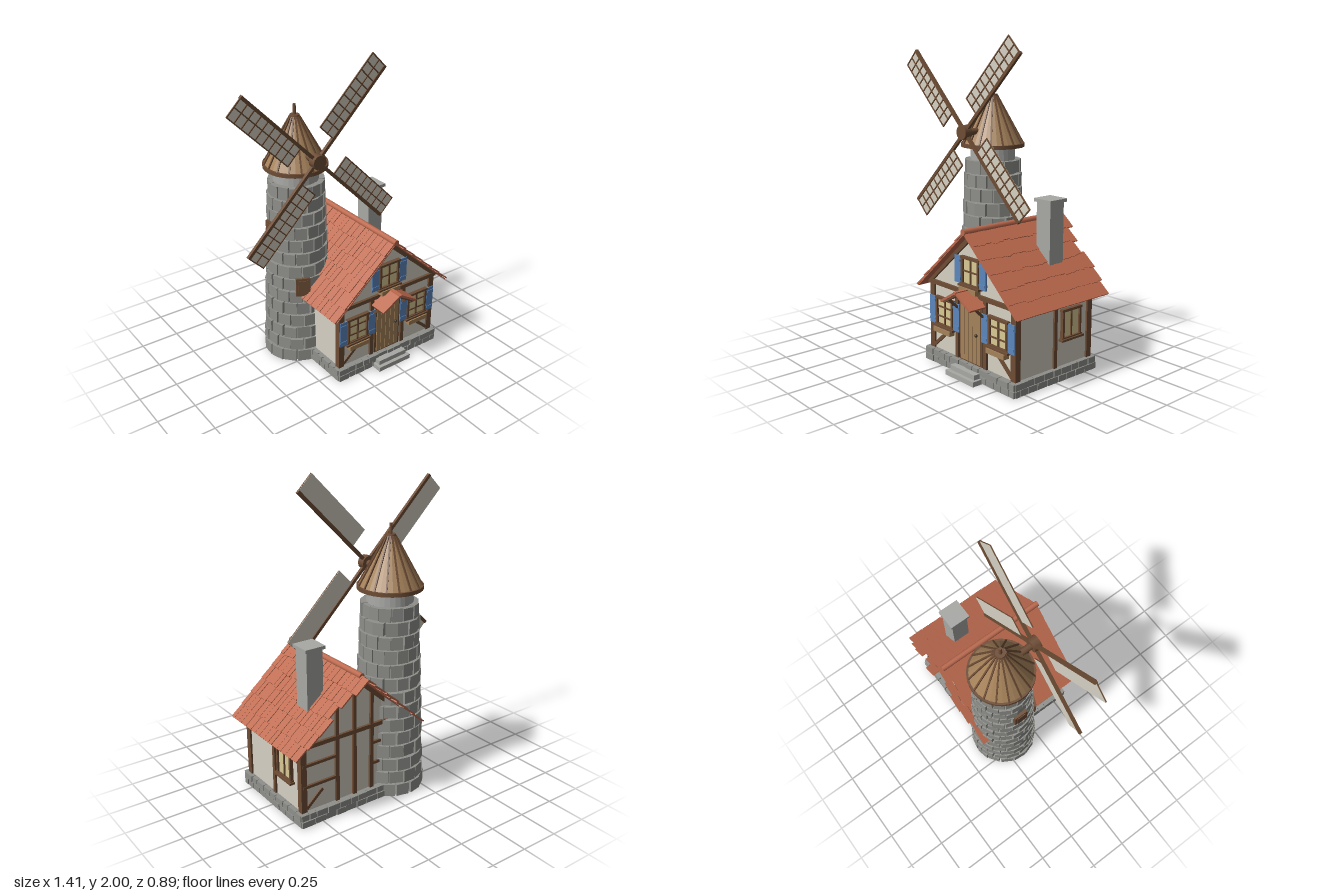
import * as THREE from 'three';

const mat = (name, color) => Object.assign(new THREE.MeshStandardMaterial({ color }), { name });

export function createModel() {
  const M = {
    stone: mat('stone', 0x8f8f8b), pale: mat('pale stone', 0xa8a9a5),
    plaster: mat('plaster', 0xd6d1c3), timber: mat('timber', 0x6e4d35),
    wood: mat('light wood', 0xa5825a), tile: mat('roof tile', 0xbd6a4e),
    blue: mat('blue paint', 0x5c87bd), glass: mat('window glass', 0xd9ca94),
    iron: mat('dark iron', 0x3b332c),
  };
  M.stone.flatShading = M.pale.flatShading = M.wood.flatShading = true;
  M.pale.side = THREE.DoubleSide;

  let seed = 7;
  const rnd = () => (seed = (seed * 16807) % 2147483647) / 2147483647;

  const root = new THREE.Group();
  root.name = 'windmillCottage';
  const group = (name, parent, x = 0, y = 0, z = 0) => {
    const g = new THREE.Group();
    g.name = name;
    g.position.set(x, y, z);
    parent.add(g);
    return g;
  };
  const add = (parent, name, geo, m, x = 0, y = 0, z = 0) => {
    const mesh = new THREE.Mesh(geo, m);
    mesh.name = name;
    mesh.position.set(x, y, z);
    parent.add(mesh);
    return mesh;
  };
  const box = (parent, name, m, w, h, d, x, y, z) =>
    add(parent, name, new THREE.BoxGeometry(w, h, d), m, x, y, z);
  const cyl = (parent, name, m, r1, r2, h, n, x, y, z) =>
    add(parent, name, new THREE.CylinderGeometry(r1, r2, h, n), m, x, y, z);
  // timber in the xy plane between two points
  const beam = (parent, name, x1, y1, x2, y2, w, z, d = 0.03) => {
    const b = box(parent, name, M.timber, Math.hypot(x2 - x1, y2 - y1), w, d, (x1 + x2) / 2, (y1 + y2) / 2, z);
    b.rotation.z = Math.atan2(y2 - y1, x2 - x1);
    return b;
  };

  // ---------- house ----------
  const house = group('house', root, 0.247, 0, 0);
  const HW = 0.375, HD = 0.3;
  const shape = new THREE.Shape([[-HW, 0.08], [HW, 0.08], [HW, 0.535], [0, 0.865], [-HW, 0.535]].map(p => new THREE.Vector2(...p)));
  add(house, 'walls', new THREE.ExtrudeGeometry(shape, { depth: 2 * HD, bevelEnabled: false }), M.plaster, 0, 0, -HD);

  // foundation core and two courses of stones
  const base = group('foundation', house);
  box(base, 'foundationCore', M.stone, 0.78, 0.08, 0.64, 0, 0.043, 0);
  for (let row = 0; row < 2; row++) {
    const y = 0.023 + row * 0.042;
    const course = (len, place) => {
      for (let a = -len / 2; a < len / 2 - 0.01;) {
        let w = 0.05 + rnd() * 0.04;
        if (a + w > len / 2 - 0.03) w = len / 2 - a;
        place(a + w / 2, w - 0.005);
        a += w;
      }
    };
    for (const s of [-1, 1]) {
      course(0.81, (a, w) => box(base, 'foundationStone', M.stone, w, 0.038, 0.04, a, y, s * (0.318 + rnd() * 0.006)));
      course(0.66, (a, w) => box(base, 'foundationStone', M.stone, 0.04, 0.038, w, s * (0.383 + rnd() * 0.006), y, a));
    }
  }
  box(house, 'lowerStep', M.pale, 0.255, 0.03, 0.1, 0, 0.015, 0.355);
  box(house, 'upperStep', M.pale, 0.22, 0.03, 0.07, 0, 0.045, 0.345);

  // timber framing on both gables
  for (const s of [-1, 1]) {
    const z = s * 0.3, f = group(s > 0 ? 'frontTimbers' : 'backTimbers', house);
    for (const m of [-1, 1]) {
      box(f, 'cornerPost', M.timber, 0.04, 0.43, 0.04, m * 0.367, 0.3, s * 0.293);
      beam(f, 'innerPost', m * 0.128, 0.085, m * 0.128, 0.51, 0.026, z);
      beam(f, 'rafter', m * 0.39, 0.512, 0, 0.855, 0.028, z);
      beam(f, 'midRail', m * 0.128, 0.25, m * 0.375, 0.25, 0.018, z);
      beam(f, 'brace', m * 0.35, 0.105, m * 0.235, 0.205, 0.02, z, 0.025);
      if (s < 0) {
        beam(f, 'upperRail', m * 0.128, 0.39, m * 0.375, 0.39, 0.018, z);
        beam(f, 'gablePost', m * 0.128, 0.51, m * 0.128, 0.74, 0.022, z);
      }
    }
    beam(f, 'tieBeam', -0.4, 0.51, 0.4, 0.51, 0.026, z, 0.034);
    if (s < 0) beam(f, 'kingPost', 0, 0.085, 0, 0.85, 0.024, z);
  }
  // side timbers
  for (const s of [-1, 1]) {
    box(house, 'sidePost', M.timber, 0.025, 0.43, 0.025, s * 0.375, 0.3, -0.007);
    box(house, 'wallPlate', M.timber, 0.03, 0.025, 0.62, s * 0.375, 0.51, 0);
  }

  // window facing +z at its own origin
  const makeWindow = (parent, name, x, y, z, w, h, rows, shutters, planter) => {
    const g = group(name, parent, x, y, z);
    box(g, 'glass', M.glass, w, h, 0.008, 0, 0, 0.006);
    for (const m of [-1, 1]) {
      box(g, 'frameSide', M.timber, 0.015, h, 0.024, m * (w / 2 - 0.007), 0, 0.01);
      box(g, 'frameRail', M.timber, w + 0.012, 0.015, 0.028, 0, m * (h / 2 - 0.007), 0.01);
      if (shutters) {
        const sh = group('shutter', g, m * (w / 2 + 0.033), 0, 0.012);
        box(sh, 'shutterPanel', M.blue, 0.056, h - 0.01, 0.014, 0, 0, 0);
        for (const k of [-0.32, 0.32]) box(sh, 'shutterBatten', M.blue, 0.05, 0.014, 0.022, 0, k * h, 0);
      }
    }
    box(g, 'mullion', M.timber, 0.011, h, 0.018, 0, 0, 0.008);
    for (let i = 1; i < rows; i++) box(g, 'glazingBar', M.timber, w, 0.009, 0.016, 0, h * (i / rows - 0.5), 0.008);
    box(g, 'sill', M.timber, w + 0.03, 0.013, 0.04, 0, -h / 2, 0.014);
    if (planter) box(g, 'planter', M.wood, w - 0.005, 0.03, 0.04, 0, -h / 2 - 0.02, 0.022);
    return g;
  };
  for (const m of [-1, 1]) {
    makeWindow(house, 'frontWindow', m * 0.243, 0.335, 0.3, 0.16, 0.185, 3, true, true);
    makeWindow(house, 'sideWindow', m * 0.375, 0.34, -0.133, 0.155, 0.185, 1, false, false).rotation.y = m * Math.PI / 2;
  }
  makeWindow(house, 'gableWindow', 0, 0.643, 0.3, 0.155, 0.175, 2, true, true);

  // plank door
  const door = group('door', house, 0, 0.27, 0.3);
  box(door, 'doorBack', M.timber, 0.205, 0.37, 0.016, 0, 0, 0.003);
  for (let i = 0; i < 5; i++) box(door, 'doorPlank', M.wood, 0.033, 0.35, 0.024, (i - 2) * 0.036, 0, 0.005);
  add(door, 'doorHandle', new THREE.SphereGeometry(0.01, 10, 8), M.iron, 0.06, 0.005, 0.024);

  // porch roof
  const porch = group('porch', house);
  for (const m of [-1, 1]) {
    const slab = box(porch, 'porchTiles', M.tile, 0.155, 0.014, 0.14, m * 0.067, 0.502, 0.362);
    slab.rotation.z = -m * 0.54;
    beam(porch, 'porchRafter', m * 0.12, 0.46, 0, 0.53, 0.016, 0.415, 0.015);
    const strut = box(porch, 'porchStrut', M.timber, 0.014, 0.12, 0.014, m * 0.115, 0.43, 0.345);
    strut.rotation.x = 0.8;
  }
  box(porch, 'porchRidge', M.tile, 0.025, 0.016, 0.145, 0, 0.54, 0.362);

  // main roof: staggered tiles laid down each slope
  const roof = group('roof', house);
  const pitch = Math.atan2(0.41, 0.452), slopeLen = 0.612, rows = 6, step = slopeLen / rows;
  for (const m of [-1, 1]) {
    const side = group(m > 0 ? 'leftSlope' : 'rightSlope', roof, 0, 0.885, 0);
    side.rotation.z = -m * pitch;
    box(side, 'roofDeck', M.tile, slopeLen - 0.01, 0.006, 0.73, m * (slopeLen - 0.01) / 2, -0.005, 0);
    for (let r = 0; r < rows; r++) {
      const end = -0.365 - rnd() * 0.035;
      for (let z = 0.365; z > end;) {
        const w = 0.036 + rnd() * 0.024, len = step + 0.01 + rnd() * 0.012;
        const t = box(side, 'roofTile', M.tile, len, 0.009, w - 0.003, m * ((r + 1) * step - len / 2 + (r < rows - 1 ? rnd() * 0.014 : 0)), 0.004 + rnd() * 0.003, z - w / 2);
        t.rotation.z = m * 0.05;
        z -= w;
      }
    }
  }
  cyl(roof, 'ridgeCap', M.tile, 0.019, 0.019, 0.755, 10, 0, 0.89, -0.005).rotation.x = Math.PI / 2;

  // chimney
  box(house, 'chimney', M.pale, 0.112, 0.5, 0.112, 0.198, 0.785, -0.137);
  box(house, 'chimneyCap', M.pale, 0.138, 0.02, 0.138, 0.198, 1.045, -0.137);

  // ---------- tower ----------
  const tower = group('tower', root, -0.115, 0, -0.18);
  add(tower, 'towerCore', new THREE.CylinderGeometry(0.14, 0.2, 1.31, 28, 1, true), M.pale, 0, 0.655, 0);
  const courses = 14, per = 15, ch = 1.23 / courses;
  for (let i = 0; i < courses; i++) {
    const y = (i + 0.5) * ch, r = 0.226 - 0.052 * (y / 1.23);
    for (let k = 0; k < per; k++) {
      const a = ((k + (i % 2) / 2 + (rnd() - 0.5) * 0.12) / per) * Math.PI * 2;
      const d = 0.045, rr = r - d / 2 + (rnd() - 0.5) * 0.008;
      const s = box(tower, 'towerStone', M.stone, (2 * Math.PI * r / per) * (0.87 + rnd() * 0.08), ch * (0.86 + rnd() * 0.08), d, Math.sin(a) * rr, y, Math.cos(a) * rr);
      s.rotation.y = a;
    }
  }
  // shuttered tower openings
  for (const [a, y, r] of [[-Math.PI / 2, 0.91, 0.185], [-0.42, 0.56, 0.2]]) {
    const w = group('towerWindow', tower, Math.sin(a) * r, y, Math.cos(a) * r);
    w.rotation.y = a;
    box(w, 'towerWindowFrame', M.timber, 0.09, 0.125, 0.03, 0, 0, 0);
    box(w, 'towerWindowPanel', M.timber, 0.06, 0.095, 0.04, 0, 0, 0);
  }

  // conical cap with ribs
  const cap = group('towerCap', tower);
  cyl(cap, 'capCone', M.wood, 0.026, 0.192, 0.3, 32, 0, 1.475, 0);
  cyl(cap, 'capRim', M.timber, 0.202, 0.202, 0.024, 32, 0, 1.318, 0);
  cyl(cap, 'capCollar', M.timber, 0.03, 0.034, 0.022, 16, 0, 1.625, 0);
  cyl(cap, 'finial', M.timber, 0.009, 0.011, 0.08, 10, 0, 1.66, 0);
  for (let k = 0; k < 16; k++) {
    const spoke = group('capRibMount', cap);
    spoke.rotation.y = (k / 16) * Math.PI * 2;
    const rib = box(spoke, 'capRib', M.timber, 0.01, 0.342, 0.012, 0, 1.475, 0.111);
    rib.rotation.x = -Math.atan2(0.166, 0.3);
  }

  // ---------- sails ----------
  const rotor = group('rotor', root, -0.115, 1.41, 0.05);
  cyl(rotor, 'axle', M.timber, 0.022, 0.022, 0.2, 12, 0, 0, -0.09).rotation.x = Math.PI / 2;
  cyl(rotor, 'hub', M.timber, 0.046, 0.046, 0.052, 12, 0, 0, 0.005).rotation.x = Math.PI / 2;
  const L0 = 0.16, L1 = 0.695, W = 0.135;
  for (let q = 0; q < 4; q++) {
    const s = group('sail', rotor);
    s.rotation.z = Math.PI / 4 + q * Math.PI / 2;
    box(s, 'stock', M.timber, L1, 0.02, 0.02, L1 / 2, 0, 0);
    box(s, 'canvas', M.plaster, L1 - L0, W, 0.004, (L0 + L1) / 2, W / 2, 0);
    for (const v of [0.5, 1]) box(s, 'sailRail', M.timber, L1 - L0, 0.007, 0.007, (L0 + L1) / 2, v * W - 0.003, 0.004);
    for (let i = 0; i <= 9; i++) box(s, 'sailBar', M.timber, 0.007, W, 0.007, L0 + 0.003 + (i / 9) * (L1 - L0 - 0.006), W / 2, 0.004);
  }
  return root;
}
